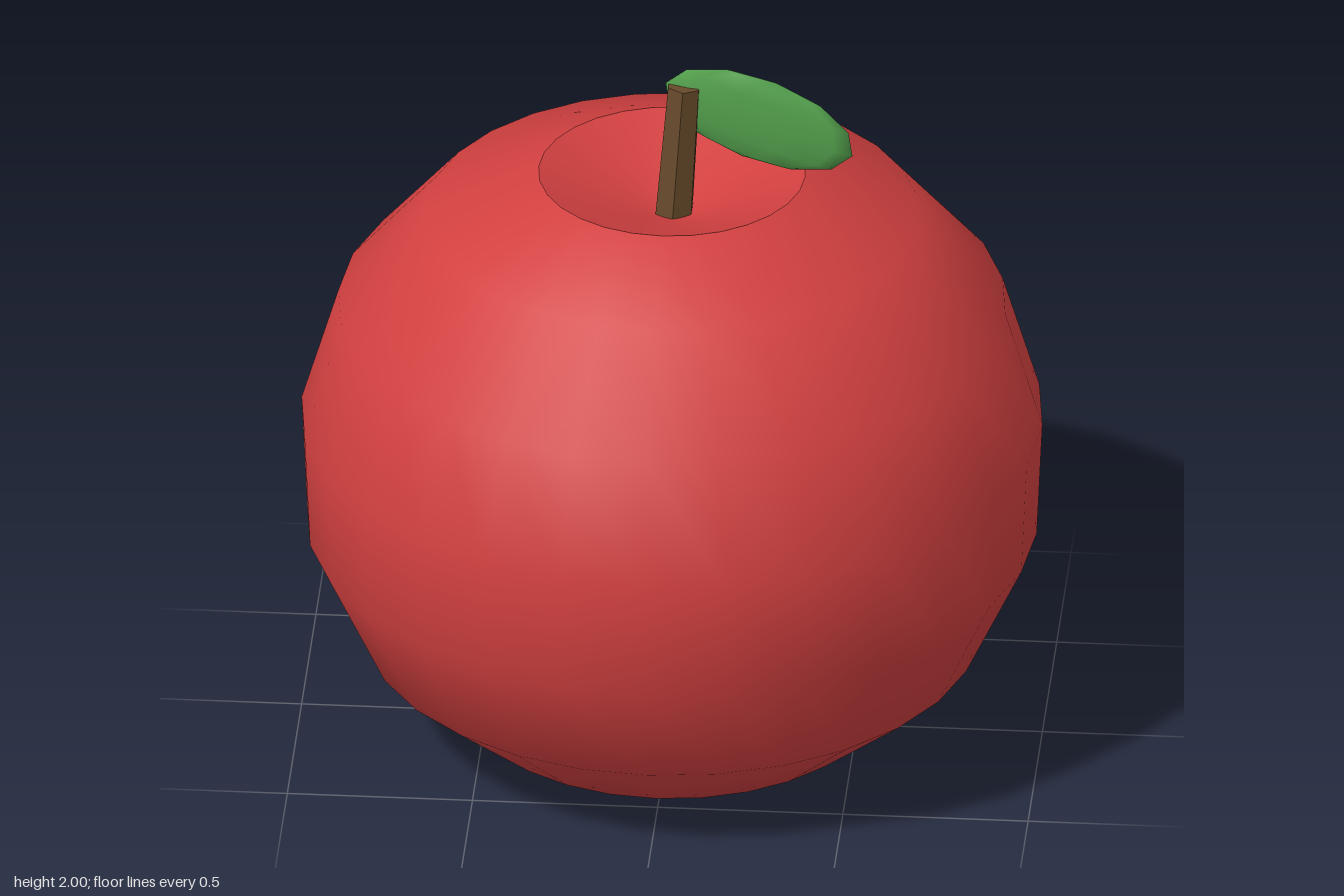
import * as THREE from 'three';

const SIDES = 28;

const skinRed = new THREE.MeshStandardMaterial({ color: 0xd24040 });
skinRed.name = 'skinRed';
const barkBrown = new THREE.MeshStandardMaterial({ color: 0x674a2b });
barkBrown.name = 'barkBrown';
barkBrown.flatShading = true;
const leafGreen = new THREE.MeshStandardMaterial({ color: 0x55a34e });
leafGreen.name = 'leafGreen';

// Surface of revolution from [radius, height] pairs, listed bottom to top on the outside
function lathe(name, profile) {
  const points = profile.map(([r, y]) => new THREE.Vector2(r, y));
  const mesh = new THREE.Mesh(new THREE.LatheGeometry(points, SIDES), skinRed);
  mesh.name = name;
  return mesh;
}

export function createModel() {
  const group = new THREE.Group();
  group.name = 'apple';

  // Round body, with a sharp rim where the hollow begins
  group.add(lathe('body', [
    [0, 0.02], [0.26, 0], [0.56, 0.06], [0.83, 0.28], [0.985, 0.61],
    [1, 0.945], [0.9, 1.28], [0.665, 1.555], [0.36, 1.68],
  ]));

  // Hollow around the stem
  group.add(lathe('stemHollow', [[0.36, 1.68], [0.1, 1.575], [0, 1.55]]));

  // Six-sided stem, leaning slightly to +x
  const stem = new THREE.Mesh(new THREE.CylinderGeometry(0.048, 0.056, 0.42, 6), barkBrown);
  stem.name = 'stem';
  stem.position.set(0.018, 1.738, 0);
  stem.rotation.z = -0.07;
  group.add(stem);

  // Leaf: a flattened ellipsoid drooping away from the stem
  const leaf = new THREE.Mesh(new THREE.SphereGeometry(1, 10, 6), leafGreen);
  leaf.name = 'leaf';
  leaf.scale.set(0.272, 0.123, 0.026);
  leaf.position.set(0.235, 1.85, 0);
  leaf.rotation.z = -0.385;
  group.add(leaf);

  return group;
}
